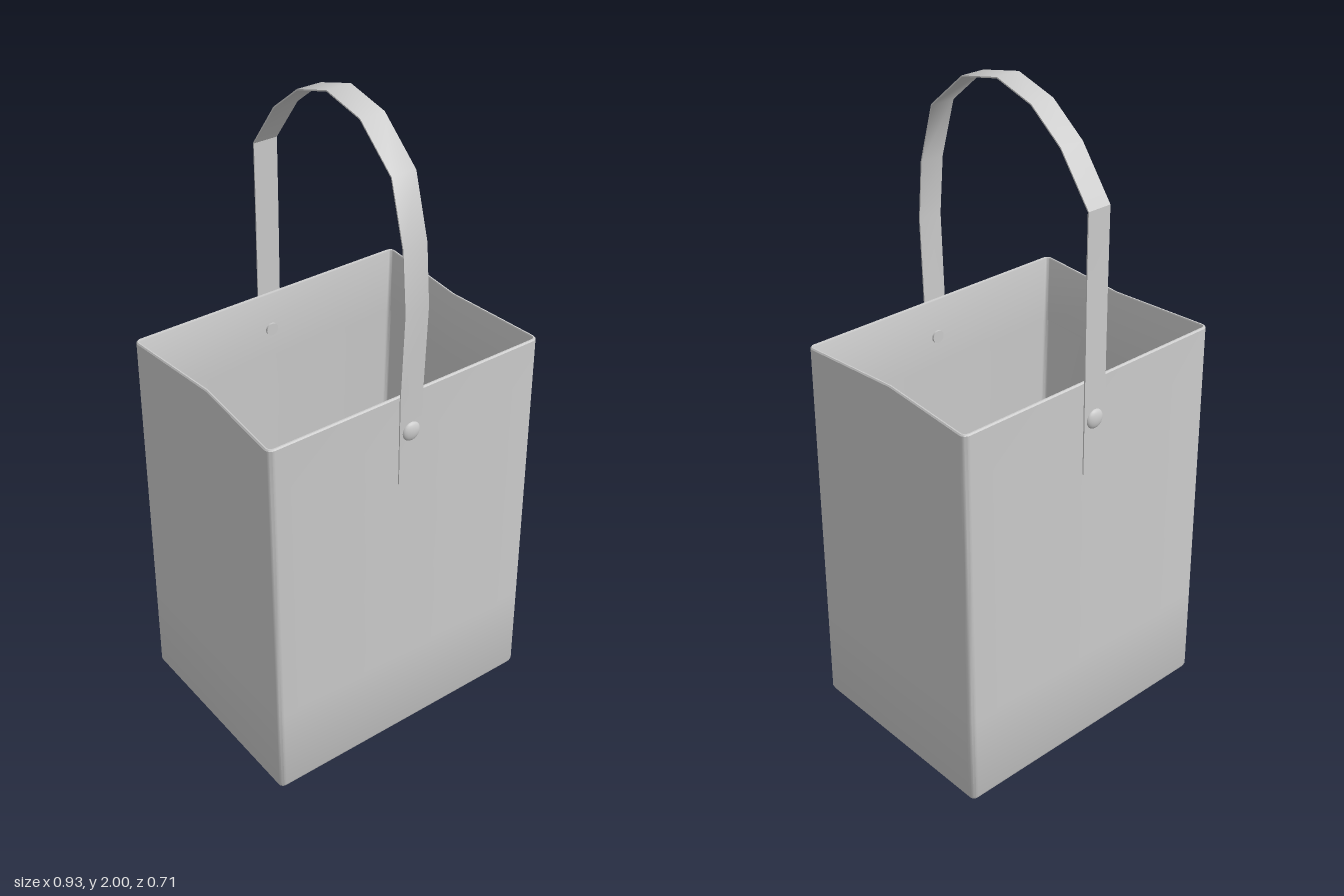
import * as THREE from 'three';
import { toCreasedNormals } from 'three/addons/utils/BufferGeometryUtils.js';

const H = 1.24;
const material = new THREE.MeshStandardMaterial({ color: 0xcccccc, side: THREE.DoubleSide });

function addMesh(parent, name, geometry) {
  const mesh = new THREE.Mesh(geometry, material);
  mesh.name = name;
  parent.add(mesh);
  return mesh;
}

const halfDepth = (y) => 0.35 - 0.013 * y / H;

// Rounded rectangle at height y; the two narrow sides fold inward towards the rim.
function ring(y, inset) {
  const w = 0.465 - inset, d = halfDepth(y) - inset;
  const r = Math.max(0.006, 0.02 - inset);
  const pinch = 0.026 * Math.pow(y / H, 1.5);
  const points = [];
  const corners = [[1, 1], [-1, 1], [-1, -1], [1, -1]];
  corners.forEach(([sx, sz], k) => {
    if (k === 0 || k === 2) points.push([sx * (w - pinch), y, 0]);
    for (let i = 0; i <= 4; i++) {
      const a = (k + i / 4) * Math.PI / 2;
      points.push([sx * (w - r) + r * Math.cos(a), y, sz * (d - r) + r * Math.sin(a)]);
    }
  });
  return points;
}

// Skin joining successive rings, optionally closed at the first and last ring.
function loft(rings) {
  const n = rings[0].length, position = rings.flat(2), index = [];
  for (let j = 0; j < rings.length - 1; j++) {
    for (let i = 0; i < n; i++) {
      const a = j * n + i, b = j * n + (i + 1) % n;
      index.push(a, a + n, b, b, a + n, b + n);
    }
  }
  const last = (rings.length - 1) * n;
  for (let i = 1; i < n - 1; i++) {
    index.push(0, i, i + 1);
    index.push(last, last + i + 1, last + i);
  }
  const g = new THREE.BufferGeometry();
  g.setAttribute('position', new THREE.Float32BufferAttribute(position, 3));
  g.setIndex(index);
  return toCreasedNormals(g, 0.6);
}

// Thin sheet lying on the bag floor, given as [x, z] corners.
function floorFlap(parent, name, corners, y) {
  const shape = new THREE.Shape(corners.map(([x, z]) => new THREE.Vector2(x, -z)));
  const g = new THREE.ExtrudeGeometry(shape, { depth: 0.004, bevelEnabled: false });
  g.rotateX(-Math.PI / 2);
  addMesh(parent, name, g).position.y = y;
}

export function createModel() {
  const model = new THREE.Group();

  // Bag body: rounded base, outer walls, rim, folded hem, inner walls and floor
  const profile = [
    [0, 0.012], [0.004, 0.005], [0.015, 0],
    [0.3, 0], [0.6, 0], [0.9, 0], [1.1, 0], [1.236, 0], [H, 0.003],
    [H, 0.007], [1.236, 0.009], [1.02, 0.009], [1.02, 0.005],
    [0.7, 0.005], [0.35, 0.005], [0.014, 0.005],
  ];
  addMesh(model, 'bagBody', loft(profile.map(([y, inset]) => ring(y, inset))));

  // Folded paper on the inside floor
  const floor = new THREE.Group();
  floor.name = 'floorFolds';
  model.add(floor);
  for (const s of [-1, 1]) {
    floorFlap(floor, 'sideFlap', [[s * 0.22, -0.34], [s * 0.455, -0.34], [s * 0.455, 0.34], [s * 0.22, 0.34]], 0.015);
    floorFlap(floor, 'gussetFold', [[s * 0.455, -0.33], [s * 0.38, 0], [s * 0.455, 0.33]], 0.019);
    floorFlap(floor, 'cornerFold', [[s * 0.225, 0.23], [s * 0.305, 0.33], [s * 0.225, 0.33]], 0.019);
    floorFlap(floor, 'triangleFlap', [[-0.21, s * 0.33], [0.21, s * 0.33], [0, s * 0.06]], 0.015);
  }

  // Strap handle: a path of [z, y] points thickened into a flat band
  const path = [
    [0.342, 0.95], [0.339, 1.24], [0.349, 1.5], [0.333, 1.68], [0.28, 1.86],
    [0.15, 1.97], [0.01, 1.998], [-0.12, 1.958], [-0.23, 1.872],
    [-0.335, 1.73], [-0.336, 1.5], [-0.339, 1.24], [-0.342, 0.95],
  ].map(([z, y]) => new THREE.Vector2(z, y));
  const side = (t) => path.map((p, i) => {
    const dir = path[Math.min(i + 1, path.length - 1)].clone().sub(path[Math.max(i - 1, 0)]).normalize();
    return new THREE.Vector2(p.x + dir.y * t, p.y - dir.x * t);
  });
  const band = new THREE.Shape([...side(0.002), ...side(-0.002).reverse()]);
  const strap = new THREE.ExtrudeGeometry(band, { depth: 0.078, bevelEnabled: false });
  strap.translate(0, 0, -0.039).rotateY(-Math.PI / 2);
  addMesh(model, 'handleStrap', toCreasedNormals(strap, 0.6));

  // Domed rivets through both walls, with a smaller head inside
  for (const s of [-1, 1]) {
    const outer = addMesh(model, 'rivet', new THREE.SphereGeometry(0.03, 20, 12));
    outer.scale.z = 0.45;
    outer.position.set(0, 1.115, s * 0.341);
    const inner = addMesh(model, 'rivetBack', new THREE.CylinderGeometry(0.02, 0.02, 0.008, 20));
    inner.rotation.x = Math.PI / 2;
    inner.position.set(0, 1.115, s * 0.327);
  }
  return model;
}
